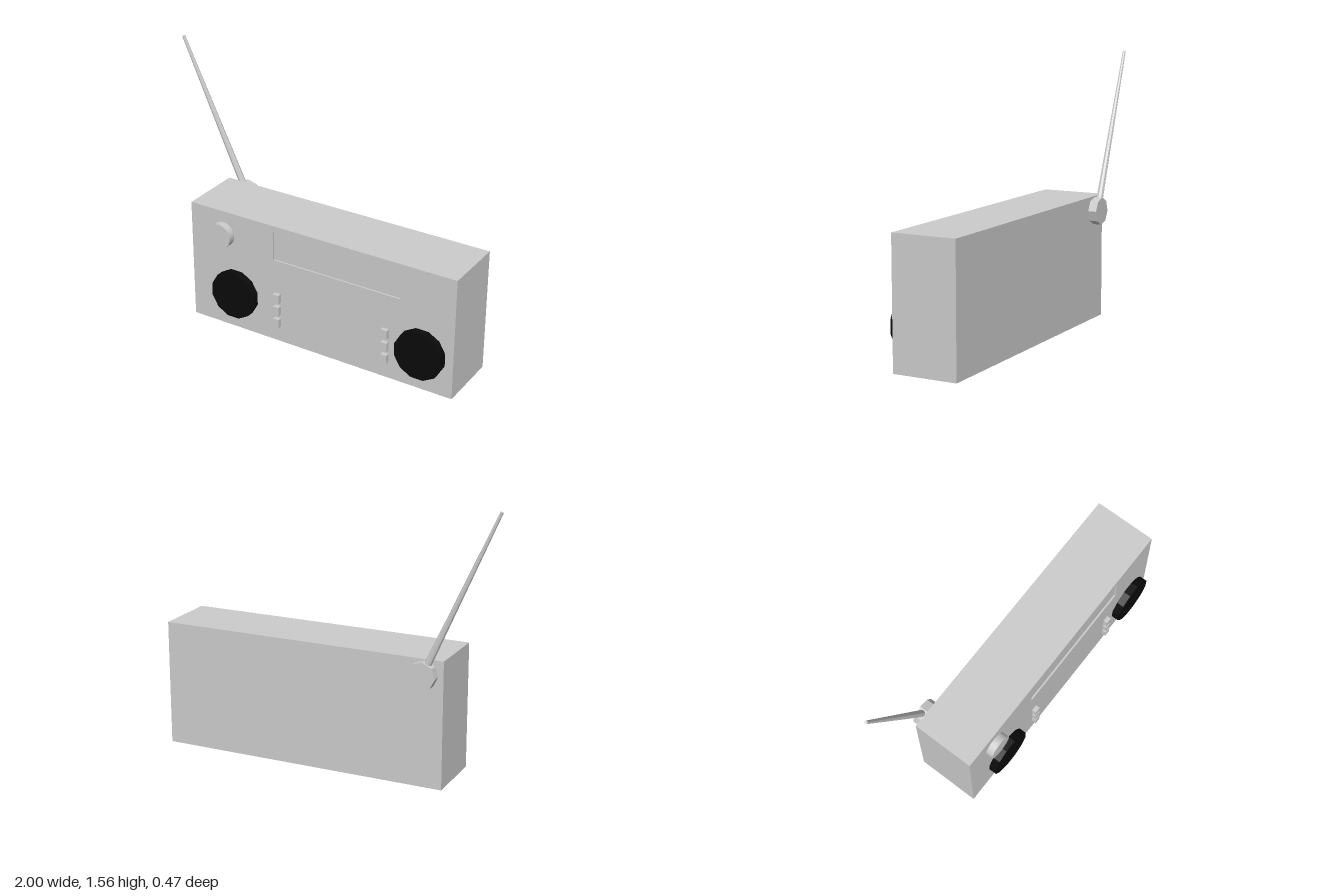
import * as THREE from 'three';

const grey = new THREE.MeshStandardMaterial({ color: 0xcccccc, flatShading: true });
const smoothGrey = new THREE.MeshStandardMaterial({ color: 0xcccccc });
const black = new THREE.MeshStandardMaterial({ color: 0x0a0a0a, flatShading: true });

const FRONT = 0.19, BACK = -0.185;

export function createModel() {
  const model = new THREE.Group();
  model.name = 'radio';

  const add = (name, geometry, material, x, y, z) => {
    const mesh = new THREE.Mesh(geometry, material);
    mesh.name = name;
    mesh.position.set(x, y, z);
    model.add(mesh);
    return mesh;
  };
  // Disc whose axis runs along z, turned by spin about that axis
  const disc = (radius, depth, sides, spin = 0) =>
    new THREE.CylinderGeometry(radius, radius, depth, sides).rotateX(Math.PI / 2).rotateZ(spin);
  const rect = (target, x0, y0, x1, y1) =>
    target.moveTo(x0, y0).lineTo(x1, y0).lineTo(x1, y1).lineTo(x0, y1).closePath();

  // Case: solid rear, and a thin front plate with the display window cut out
  const recess = 0.01;
  const depth = FRONT - BACK - recess;
  add('case', new THREE.BoxGeometry(1.695, 0.73, depth), grey, 0.1525, 0.365, BACK + depth / 2);
  const plate = rect(new THREE.Shape(), -0.695, 0, 1, 0.73);
  plate.holes.push(rect(new THREE.Path(), -0.14, 0.517, 0.667, 0.69));
  add('frontPlate', new THREE.ExtrudeGeometry(plate, { depth: recess, bevelEnabled: false }),
    grey, 0, 0, FRONT - recess);

  // Tuning knob
  add('tuningKnob', disc(0.075, 0.043, 32), smoothGrey, -0.478, 0.588, FRONT + 0.0215);

  // Speakers and the columns of buttons beside them
  for (const [side, speakerX, buttonX] of [['right', -0.392, -0.11], ['left', 0.808, 0.589]]) {
    add(side + 'Speaker', disc(0.147, 0.045, 12, Math.PI / 12), black, speakerX, 0.23, FRONT + 0.0225);
    for (let i = 0; i < 3; i++) {
      add(side + 'Button' + (i + 1), new THREE.BoxGeometry(0.038, 0.054, 0.026), grey,
        buttonX, 0.284 - i * 0.079, FRONT + 0.013);
    }
  }

  // Antenna pivot on the back
  add('antennaPivot', disc(0.08, 0.05, 8, THREE.MathUtils.degToRad(5)), grey, -0.585, 0.645, BACK - 0.025);

  // Tapered antenna leaning out from the pivot
  const base = new THREE.Vector3(-0.585, 0.645, -0.208);
  const tip = new THREE.Vector3(-0.99, 1.557, -0.187);
  const reach = tip.clone().sub(base);
  const antenna = add('antenna', new THREE.CylinderGeometry(0.009, 0.021, reach.length(), 8), grey,
    ...base.clone().add(tip).multiplyScalar(0.5).toArray());
  antenna.quaternion.setFromUnitVectors(new THREE.Vector3(0, 1, 0), reach.normalize());

  return model;
}
